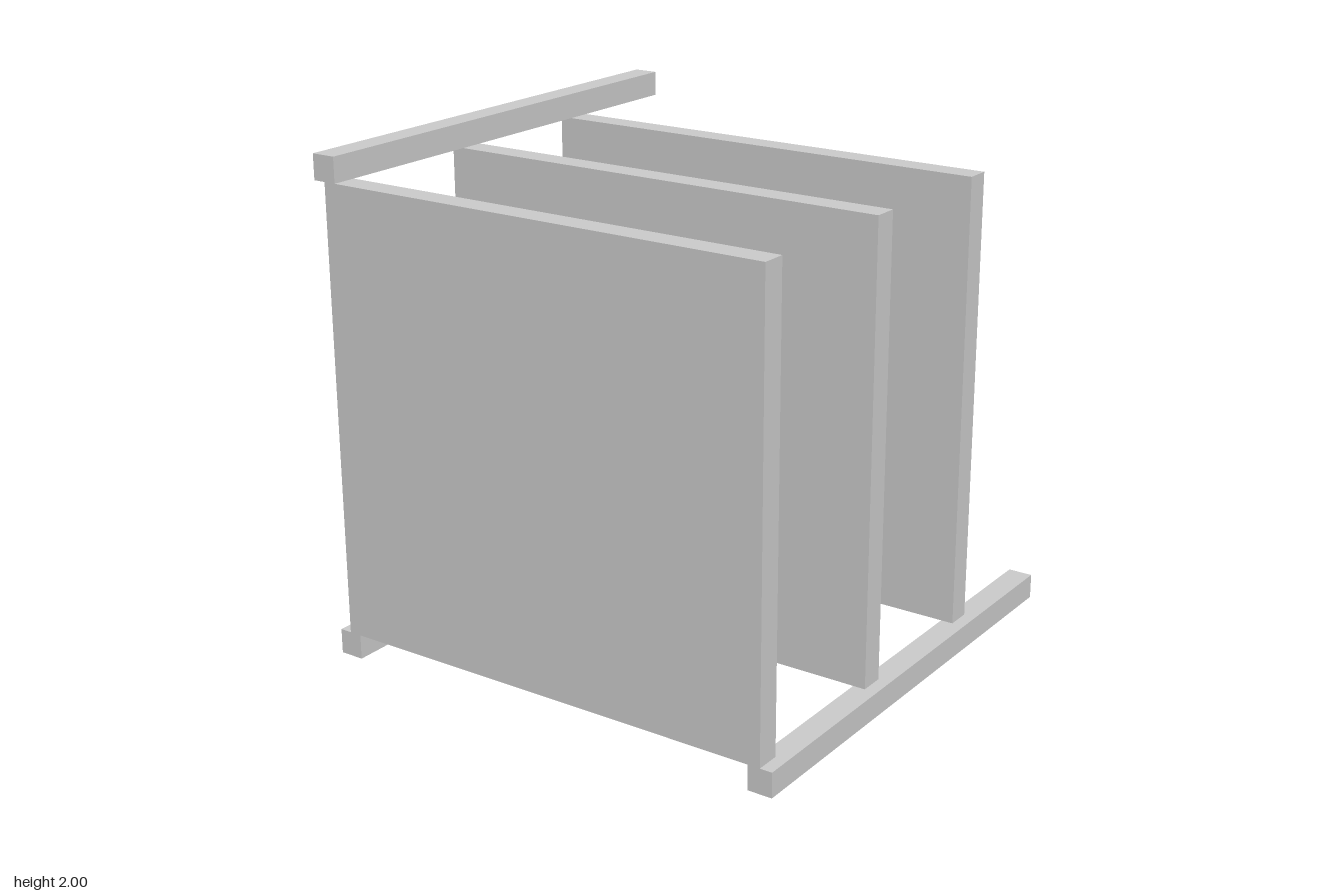
import * as THREE from 'three';

export function createModel() {
  const model = new THREE.Group();
  const material = new THREE.MeshStandardMaterial({ color: 0xcccccc, flatShading: true });
  const T = 0.1; // thickness of rails and panels

  const addBox = (name, size, position) => {
    const mesh = new THREE.Mesh(new THREE.BoxGeometry(...size), material);
    mesh.name = name;
    mesh.position.set(...position);
    model.add(mesh);
  };

  // Square rails running front to back: two at the bottom, one at the top right
  addBox('bottomRailRight', [T, T, 2], [-0.95, 0.05, 0]);
  addBox('bottomRailLeft', [T, T, 2], [0.95, 0.05, 0]);
  addBox('topRailRight', [T, T, 2], [-0.95, 1.95, 0]);

  // Upright panels standing on the bottom rails
  const panels = { frontPanel: 0.95, middlePanel: 0.235, rearPanel: -0.45 };
  for (const [name, z] of Object.entries(panels)) {
    addBox(name, [1.9, 1.8, T], [0, 1, z]);
  }

  return model;
}
